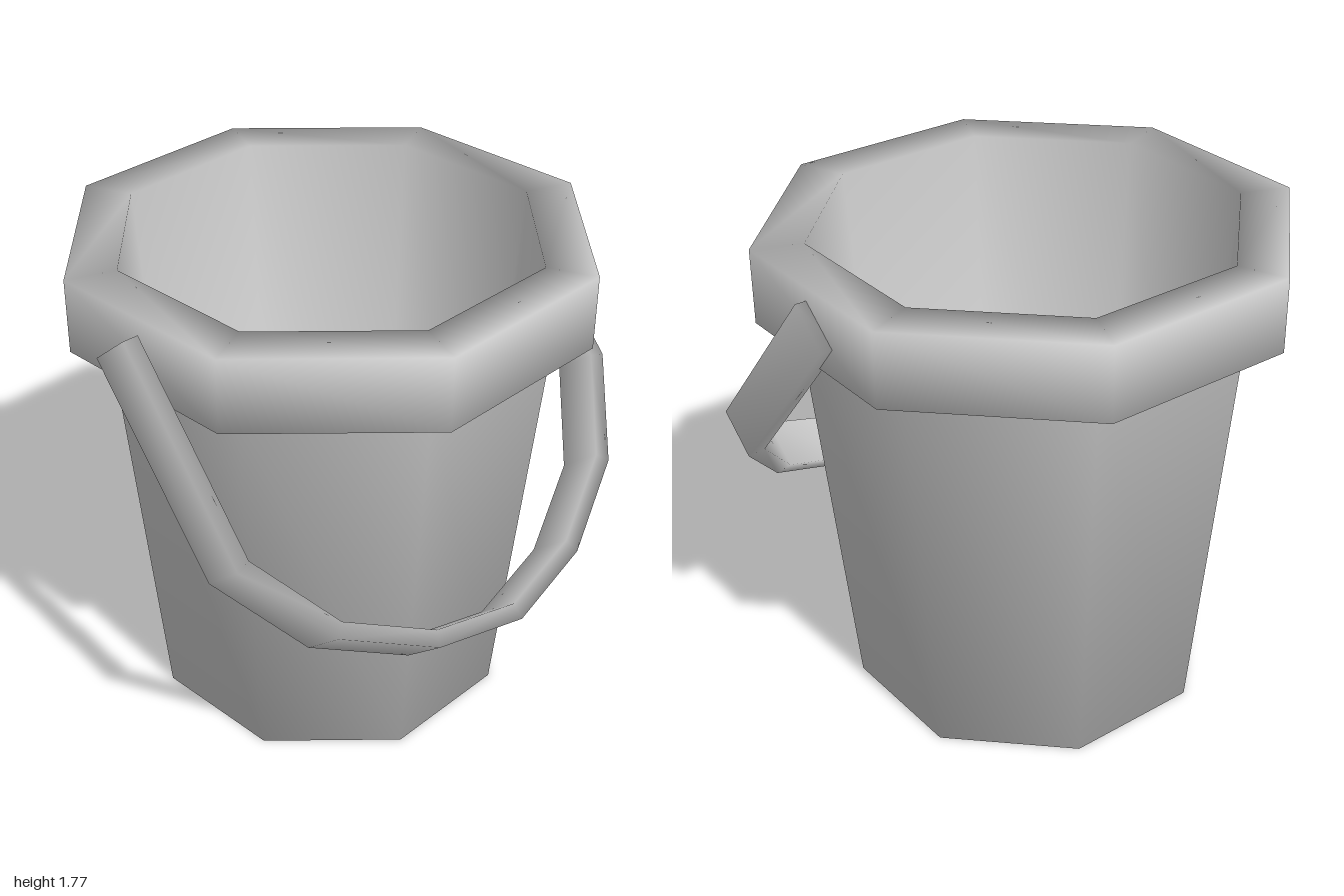
import * as THREE from 'three';
import { mergeVertices } from 'three/addons/utils/BufferGeometryUtils.js';

const material = new THREE.MeshStandardMaterial({ color: 0xcccccc });

// Eight-sided pail with a thick collar, hollow inside, softly shaded
function makePail() {
  const profile = [
    [0, 0], [0.655, 0], [0.8, 1.51], [0.935, 1.51], [0.935, 1.775],
    [0.755, 1.775], [0.62, 0.06], [0, 0.06],
  ].map(([r, y]) => new THREE.Vector2(r, y));
  const pail = new THREE.Mesh(new THREE.LatheGeometry(profile, 8), material);
  pail.name = 'pail';
  return pail;
}

// Flat strap bent into a faceted arch, lying in a tilted plane
function makeHandle() {
  const width = 0.18, half = 0.03;
  const side = [[0.89, 0], [0.91, 0.79], [0.695, 1.125], [0.36, 1.33]];
  const path = [...side, [0, 1.41], ...side.map(([s, t]) => [-s, t]).reverse()]
    .map(([s, t]) => new THREE.Vector2(s, t));

  // Offset the centre line to both sides, keeping the thickness at the bends
  const offset = (d) => path.map((p, i) => {
    const dirIn = p.clone().sub(path[Math.max(i - 1, 0)]).normalize();
    const dirOut = path[Math.min(i + 1, path.length - 1)].clone().sub(p).normalize();
    const t = dirIn.add(dirOut).normalize();
    return new THREE.Vector2(p.x + t.y * d, p.y - t.x * d);
  });
  const shape = new THREE.Shape([...offset(half), ...offset(-half).reverse()]);
  let geometry = new THREE.ExtrudeGeometry(shape, { depth: width, bevelEnabled: false });
  geometry.translate(0, 0, -width / 2);

  // Weld the corners for soft shading
  geometry.deleteAttribute('uv');
  geometry.deleteAttribute('normal');
  geometry = mergeVertices(geometry, 1e-4);
  geometry.computeVertexNormals();

  // Pivot axis meets two opposite collar faces; the arch hangs out to one side
  const turn = Math.PI / 8, drop = 0.877;
  const axis = new THREE.Vector3(-Math.sin(turn), 0, Math.cos(turn));
  const down = new THREE.Vector3(
    Math.cos(turn) * Math.cos(drop), -Math.sin(drop), Math.sin(turn) * Math.cos(drop));
  const across = axis.clone().cross(down);
  const handle = new THREE.Mesh(geometry, material);
  handle.name = 'handle';
  handle.quaternion.setFromRotationMatrix(new THREE.Matrix4().makeBasis(axis, down, across));
  handle.position.set(-0.06, 1.67, -0.07);
  return handle;
}

export function createModel() {
  const bucket = new THREE.Group();
  bucket.name = 'bucket';
  const pail = makePail();
  pail.position.set(-0.005, 0, -0.065);
  bucket.add(pail, makeHandle());
  return bucket;
}
